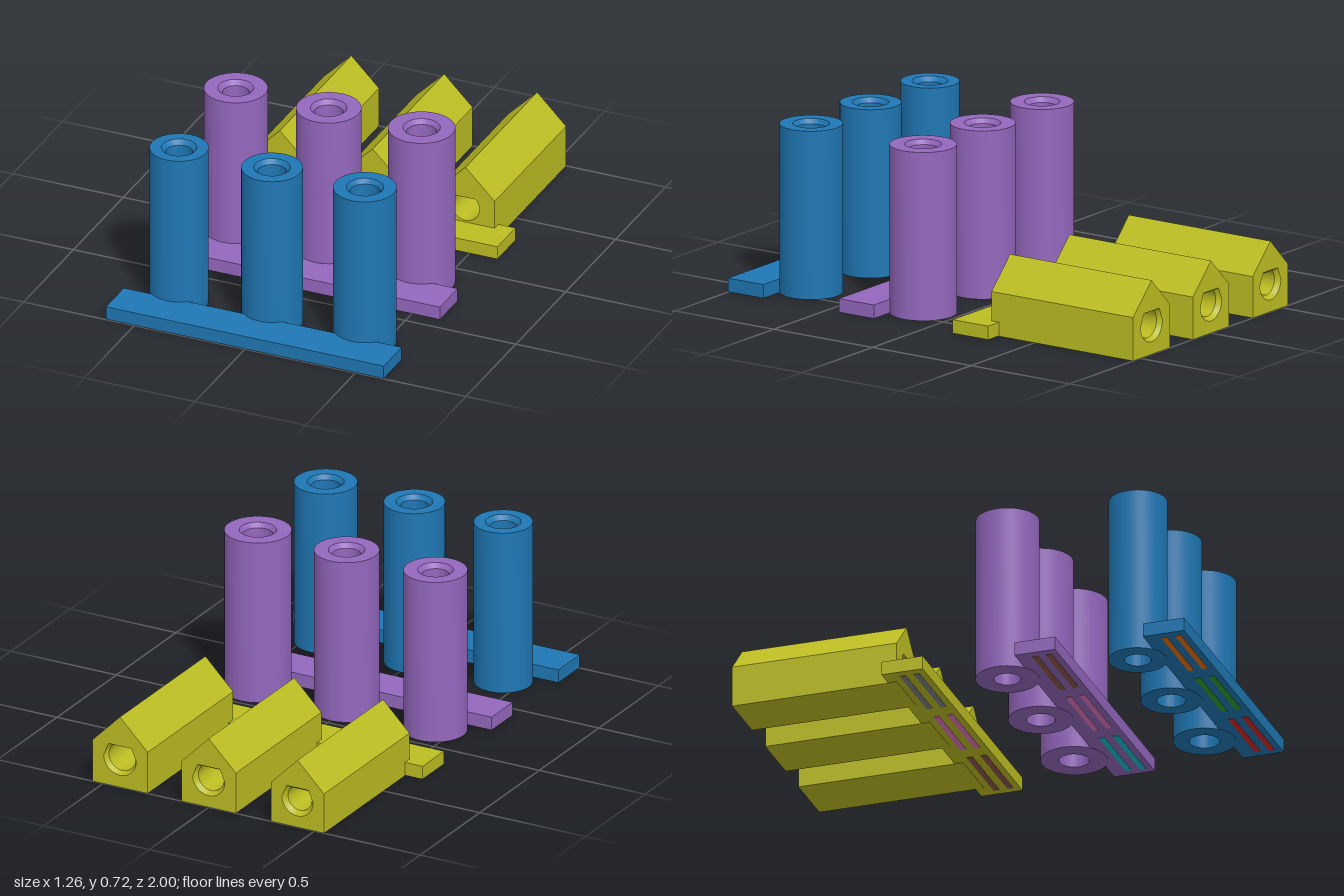
import * as THREE from 'three';
import { toCreasedNormals } from 'three/addons/utils/BufferGeometryUtils.js';

const HEIGHT = 0.718;    // length of every sleeve
const CHAMFER = 0.02;    // depth of the flared mouth
const XS = [-0.42, 0, 0.42];
const HOLES = [0.056, 0.06, 0.063];
const MOUTHS = [0.074, 0.076, 0.077];

// Upright sleeve with a through bore and a flared top
function tubeGeometry(r, hole, mouth) {
  const profile = [
    [hole, 0], [r, 0], [r, HEIGHT], [mouth, HEIGHT], [hole, HEIGHT - CHAMFER], [hole, 0],
  ].map(([x, y]) => new THREE.Vector2(x, y));
  return toCreasedNormals(new THREE.LatheGeometry(profile, 64), 0.4);
}

// Lying sleeve: house-shaped section, teardrop bore, flared at the back end
function houseGeometry(r, hole, mouth) {
  const eave = r * Math.SQRT2, peak = r * (1 + Math.SQRT2);
  const shape = new THREE.Shape([
    new THREE.Vector2(-r, 0), new THREE.Vector2(r, 0), new THREE.Vector2(r, eave),
    new THREE.Vector2(0, peak), new THREE.Vector2(-r, eave),
  ]);
  const drop = new THREE.Path();
  drop.moveTo(0, r + hole * Math.SQRT2);
  drop.absarc(0, r, hole, Math.PI / 4, Math.PI * 3 / 4, true);
  drop.closePath();
  shape.holes.push(drop);
  const geo = new THREE.ExtrudeGeometry(shape, {
    depth: HEIGHT, steps: Math.round(HEIGHT / CHAMFER), bevelEnabled: false, curveSegments: 40,
  });
  // Widen the bore on the back end only
  const p = geo.attributes.position;
  for (let i = 0; i < p.count; i++) {
    const x = p.getX(i), dy = p.getY(i) - r;
    if (p.getZ(i) < 0.001 && Math.hypot(x, dy) < hole * 1.45) {
      p.setXY(i, x * mouth / hole, r + dy * mouth / hole);
    }
  }
  return toCreasedNormals(geo, 0.4);
}

export function createModel() {
  const model = new THREE.Group();
  const material = (name, color) => {
    const m = new THREE.MeshStandardMaterial({ color });
    m.name = name;
    return m;
  };
  const blue = material('blue', 0x1f77b4), purple = material('purple', 0x9467bd);
  const olive = material('olive', 0xbcbd22), orange = material('orange', 0xff7f0e);
  const green = material('green', 0x2ca02c), red = material('red', 0xd62728);
  const brown = material('brown', 0x8c564b), pink = material('pink', 0xe377c2);
  const gray = material('gray', 0x7f7f7f), cyan = material('cyan', 0x17becf);

  // Each set is a flat bar carrying three sleeves of rising size
  const sets = [
    { name: 'frontSet', mat: blue, marks: [orange, green, red], bar: [0.82, 1], z: 0.727, radii: [0.122, 0.127, 0.131], make: tubeGeometry },
    { name: 'middleSet', mat: purple, marks: [brown, pink, cyan], bar: [0.26, 0.437], z: 0.158, radii: [0.132, 0.135, 0.139], make: tubeGeometry },
    { name: 'backSet', mat: olive, marks: [gray, pink, brown], bar: [-0.32, -0.14], z: -1, radii: [0.125, 0.128, 0.131], make: houseGeometry },
  ];

  const inlay = 0.002;   // thickness of the coloured strips underneath
  for (const set of sets) {
    const group = new THREE.Group();
    group.name = set.name;
    const addPart = (name, geometry, mat, x, y, z) => {
      const mesh = new THREE.Mesh(geometry, mat);
      mesh.name = name;
      mesh.position.set(x, y, z);
      group.add(mesh);
    };
    const [z0, z1] = set.bar;
    addPart('baseBar', new THREE.BoxGeometry(1.256, 0.06 - inlay, z1 - z0), set.mat, 0, (0.06 + inlay) / 2, (z0 + z1) / 2);
    XS.forEach((x, i) => {
      addPart('sleeve' + (i + 1), set.make(set.radii[i], HOLES[i], MOUTHS[i]), set.mat, x, 0, set.z);
      // Plain colour-code strips under the bar
      for (const dz of [0.04, 0.1]) {
        addPart('colourStrip', new THREE.BoxGeometry(0.34, inlay, 0.025), set.marks[i], x, inlay / 2, z1 - dz);
      }
    });
    model.add(group);
  }
  return model;
}
